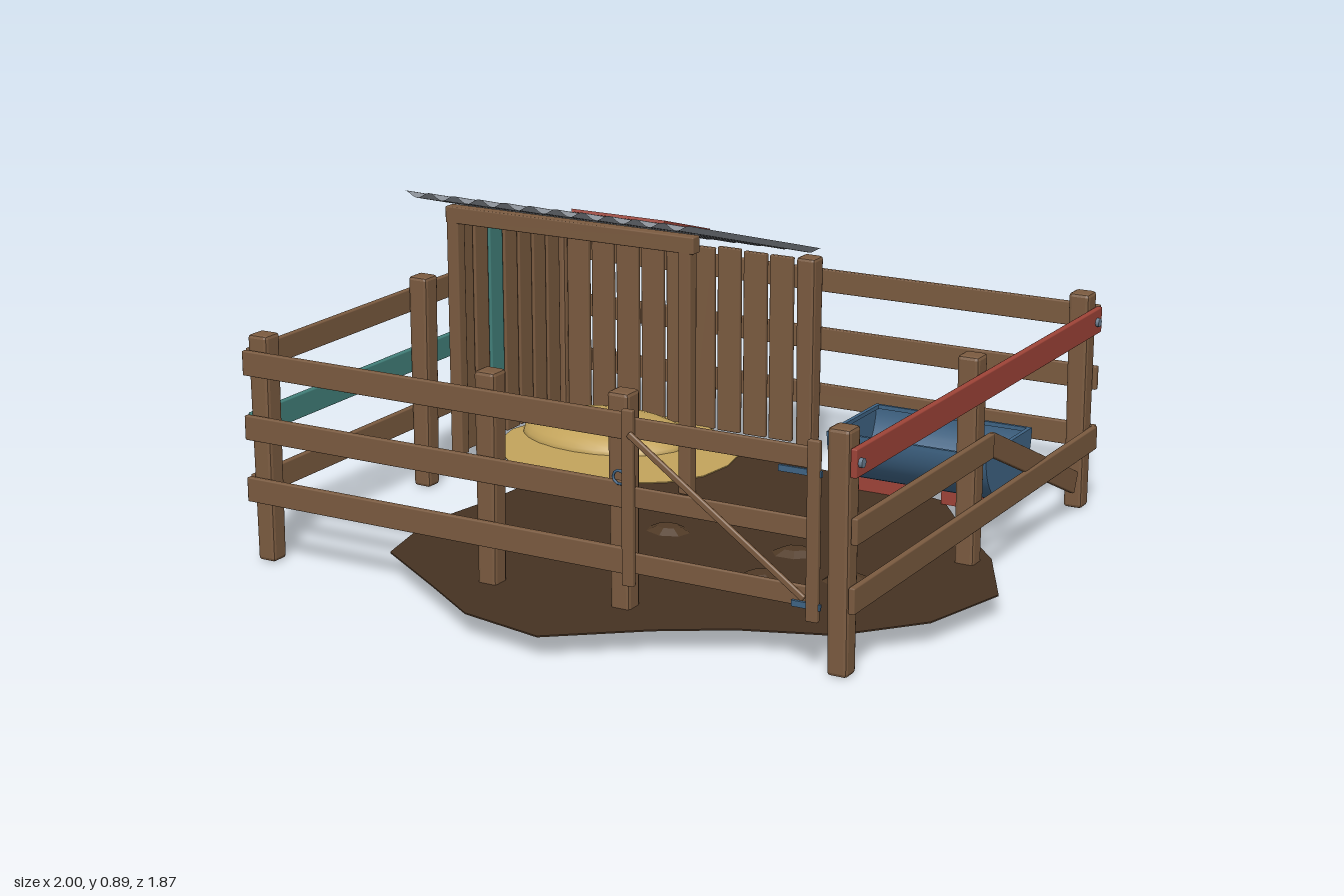
import * as THREE from 'three';
import { RoundedBoxGeometry } from 'three/addons/geometries/RoundedBoxGeometry.js';

const mat = (name, color, side = THREE.FrontSide) => {
  const m = new THREE.MeshStandardMaterial({ color, side });
  m.name = name;
  return m;
};

export function createModel() {
  const wood = mat('wood', 0x7b5b40);
  const mud = mat('mud', 0x453222);
  const clodMat = mat('clod', 0x503a26);
  const tin = mat('corrugatedTin', 0x989ea6, THREE.DoubleSide);
  const red = mat('redPaint', 0x9f4438);
  const teal = mat('tealPaint', 0x42807a);
  const blue = mat('blueMetal', 0x3f6485, THREE.DoubleSide);
  const straw = mat('straw', 0xc3a45c);
  const steel = mat('steel', 0x6b7f92);

  const root = new THREE.Group();
  root.name = 'animalPen';
  const group = (name) => {
    const g = new THREE.Group();
    g.name = name;
    root.add(g);
    return g;
  };
  const add = (parent, name, geo, m, x = 0, y = 0, z = 0) => {
    const mesh = new THREE.Mesh(geo, m);
    mesh.name = name;
    mesh.position.set(x, y, z);
    parent.add(mesh);
    return mesh;
  };
  let seed = 7;
  const rnd = () => (seed = (seed * 16807) % 2147483647) / 2147483647 - 0.5;

  // Plank running from point a to point b
  const plank = (parent, name, a, b, m = wood, h = 0.07, t = 0.018) => {
    const A = new THREE.Vector3(...a), B = new THREE.Vector3(...b);
    const mesh = add(parent, name, new RoundedBoxGeometry(t, h, A.distanceTo(B), 1, 0.004), m);
    mesh.position.copy(A).add(B).multiplyScalar(0.5);
    mesh.lookAt(B);
    return mesh;
  };

  // Fence posts: slightly tapered and leaning
  const fence = group('fence');
  const posts = [[-0.94, 0.64], [-0.21, 0.64], [0.19, 0.63], [0.82, 0.64], [0.82, -0.12],
    [0.82, -0.89], [-0.06, -0.89], [-0.94, -0.89], [-0.94, -0.12]];
  for (const [x, z] of posts) {
    const geo = new RoundedBoxGeometry(0.06, 0.645, 0.06, 1, 0.01);
    const p = geo.attributes.position;
    for (let i = 0; i < p.count; i++) {
      const k = 1 + p.getY(i) * 0.2;
      p.setXYZ(i, p.getX(i) * k, p.getY(i), p.getZ(i) * k);
    }
    geo.computeVertexNormals();
    const post = add(fence, 'fencePost', geo, wood, x, 0.325, z);
    post.rotation.set(rnd() * 0.02, 0, rnd() * 0.02);
  }

  // Fence rails on all four sides
  for (const y of [0.57, 0.387, 0.21]) {
    plank(fence, 'frontRail', [-0.98, y, 0.68], [0.23, y, 0.68]);
    plank(fence, 'backRail', [-0.97, y, -0.925], [0.86, y, -0.925]);
    plank(fence, 'leftRail', [-0.98, y, -0.92], [-0.98, y, 0.66], y === 0.387 ? teal : wood);
  }
  plank(fence, 'rightTopRail', [0.86, 0.565, -0.92], [0.86, 0.565, 0.67], red, 0.075);
  plank(fence, 'rightMiddleRail', [0.86, 0.387, -0.17], [0.86, 0.387, 0.66]);
  plank(fence, 'rightBottomRail', [0.86, 0.21, -0.92], [0.86, 0.21, 0.67]);
  plank(fence, 'fallenRail', [0.855, 0.39, -0.17], [0.845, 0.1, -0.81], wood, 0.065);
  for (const z of [0.65, -0.88]) {
    const bolt = add(fence, 'railBolt', new THREE.CylinderGeometry(0.013, 0.013, 0.012, 8), steel, 0.873, 0.565, z);
    bolt.rotation.z = Math.PI / 2;
  }

  // Gate
  const gate = group('gate');
  for (const y of [0.57, 0.387, 0.21])
    plank(gate, 'gateRail', [0.24, y, 0.685], [0.77, y, 0.685], wood, 0.055, 0.014);
  for (const x of [0.242, 0.768])
    add(gate, 'gateStile', new RoundedBoxGeometry(0.034, 0.47, 0.018, 1, 0.004), wood, x, 0.385, 0.697);
  plank(gate, 'gateBrace', [0.25, 0.56, 0.709], [0.75, 0.21, 0.709], wood, 0.018, 0.012);
  add(gate, 'gateHinge', new THREE.BoxGeometry(0.12, 0.016, 0.008), blue, 0.73, 0.535, 0.697);
  add(gate, 'lowerGateHinge', new THREE.BoxGeometry(0.08, 0.016, 0.008), blue, 0.75, 0.19, 0.697);
  add(gate, 'gateLatch', new THREE.TorusGeometry(0.018, 0.004, 5, 10), blue, 0.212, 0.435, 0.692);

  // Shelter frame
  const shelter = group('shelter');
  for (const x of [-0.917, -0.13])
    add(shelter, 'shelterPost', new RoundedBoxGeometry(0.04, 0.73, 0.04, 1, 0.005), wood, x, 0.43, -0.265);
  plank(shelter, 'shelterBeam', [-0.94, 0.805, -0.265], [-0.1, 0.805, -0.265], wood, 0.05, 0.04);

  // Board walls at the back and on the right-hand end
  const board = (name, x, z, top, w, d, m = wood) =>
    add(shelter, name, new RoundedBoxGeometry(w, top - 0.065, d, 1, 0.004), m, x, (top + 0.065) / 2, z);
  for (let i = 0; i < 9; i++)
    board('backBoard', -0.86 + i * 0.09, -0.865, 0.642 + rnd() * 0.016, 0.078, 0.018);
  for (let i = 0; i < 7; i++)
    board('sideBoard', -0.925, -0.32 - i * 0.081, 0.806 - i * 0.0235, 0.018, 0.07, i === 2 ? teal : wood);

  // Corrugated roof sloping down to the back
  const slope = 0.23 / 0.81;
  const roofY = (z) => 0.885 + (z + 0.125) * slope;
  const roofGeo = new THREE.PlaneGeometry(0.955, 0.815, 132, 1).rotateX(-Math.PI / 2).translate(-0.5225, 0, -0.5325);
  const rp = roofGeo.attributes.position;
  for (let i = 0; i < rp.count; i++)
    rp.setY(i, roofY(rp.getZ(i)) + 0.009 * Math.cos((rp.getX(i) + 1) * Math.PI * 2 / 0.0868));
  roofGeo.computeVertexNormals();
  add(shelter, 'roof', roofGeo, tin);
  const patch = new THREE.Group();
  patch.name = 'roofPatch';
  patch.position.set(-0.385, roofY(-0.445) + 0.015, -0.445);
  patch.rotation.x = -Math.atan(slope);
  const sheet = add(patch, 'patchSheet', new THREE.BoxGeometry(0.292, 0.009, 0.355), red);
  sheet.rotation.y = 0.11;
  shelter.add(patch);

  // Flat ground shapes, outline given as x, z pairs
  const slab = (name, pts, top, depth, m) => {
    const shape = new THREE.Shape(pts.map(([x, z]) => new THREE.Vector2(x, z)));
    const geo = new THREE.ExtrudeGeometry(shape, { depth, bevelEnabled: false }).rotateX(Math.PI / 2);
    return add(root, name, geo, m, 0, top, 0);
  };
  slab('mudPatch', [[-0.06, -0.71], [0.11, -0.655], [0.32, -0.63], [0.55, -0.56], [0.7, -0.36], [0.87, -0.17],
    [1, 0.08], [0.93, 0.35], [0.76, 0.55], [0.52, 0.64], [0.34, 0.75], [0.11, 0.93], [-0.14, 0.88],
    [-0.33, 0.75], [-0.58, 0.585], [-0.635, 0.33], [-0.59, 0.07], [-0.575, -0.14], [-0.5, -0.38],
    [-0.3, -0.58]], 0.066, 0.004, mud);

  // Straw bedding and heap
  const bedding = [];
  for (let i = 0; i < 18; i++) {
    const a = i / 18 * Math.PI * 2, k = 1 + rnd() * 0.08;
    bedding.push([-0.53 + Math.cos(a) * 0.38 * k, -0.54 + Math.sin(a) * 0.35 * k]);
  }
  slab('strawBedding', bedding, 0.07, 0.003, straw);
  const heap = add(root, 'strawHeap', new THREE.SphereGeometry(1, 24, 8, 0, Math.PI * 2, 0, Math.PI / 2),
    straw, -0.62, 0.067, -0.63);
  heap.scale.set(0.28, 0.075, 0.2);

  // Mud clods
  const clods = [[-0.01, 0.055], [0.385, 0.05], [0.6, 0.175], [0.39, 0.27], [-0.24, -0.17]];
  clods.forEach(([x, z], i) => {
    const geo = new THREE.CylinderGeometry(0.035, 0.068, 0.016, 7).toNonIndexed();
    geo.computeVertexNormals();
    const c = add(root, 'mudClod', geo, clodMat, x, 0.073, z);
    c.scale.z = 0.78;
    c.rotation.y = i * 0.4;
  });

  // Half-round feeding trough on bricks
  const trough = group('trough');
  const cx = 0.4975, cy = 0.267, cz = -0.563, R = 0.162, L = 0.495;
  add(trough, 'troughShell', new THREE.CylinderGeometry(R, R, L, 20, 1, true, Math.PI, Math.PI)
    .rotateZ(Math.PI / 2), blue, cx, cy, cz);
  for (const s of [-1, 1]) {
    const end = add(trough, 'troughEnd', new THREE.CircleGeometry(R, 20, Math.PI, Math.PI), blue, cx + s * L / 2, cy, cz);
    end.rotation.y = s * Math.PI / 2;
    add(trough, 'troughRim', new THREE.BoxGeometry(L, 0.012, 0.01), blue, cx, cy, cz + s * (R - 0.005));
    add(trough, 'troughEndRim', new THREE.BoxGeometry(0.012, 0.012, R * 2), blue, cx + s * (L / 2 - 0.006), cy, cz);
    add(trough, 'brick', new THREE.BoxGeometry(0.18, 0.045, 0.06), red, cx + s * 0.145, 0.0885, cz);
  }
  add(trough, 'feed', new THREE.BoxGeometry(0.472, 0.008, 0.236), wood, cx, 0.165, cz);

  return root;
}
